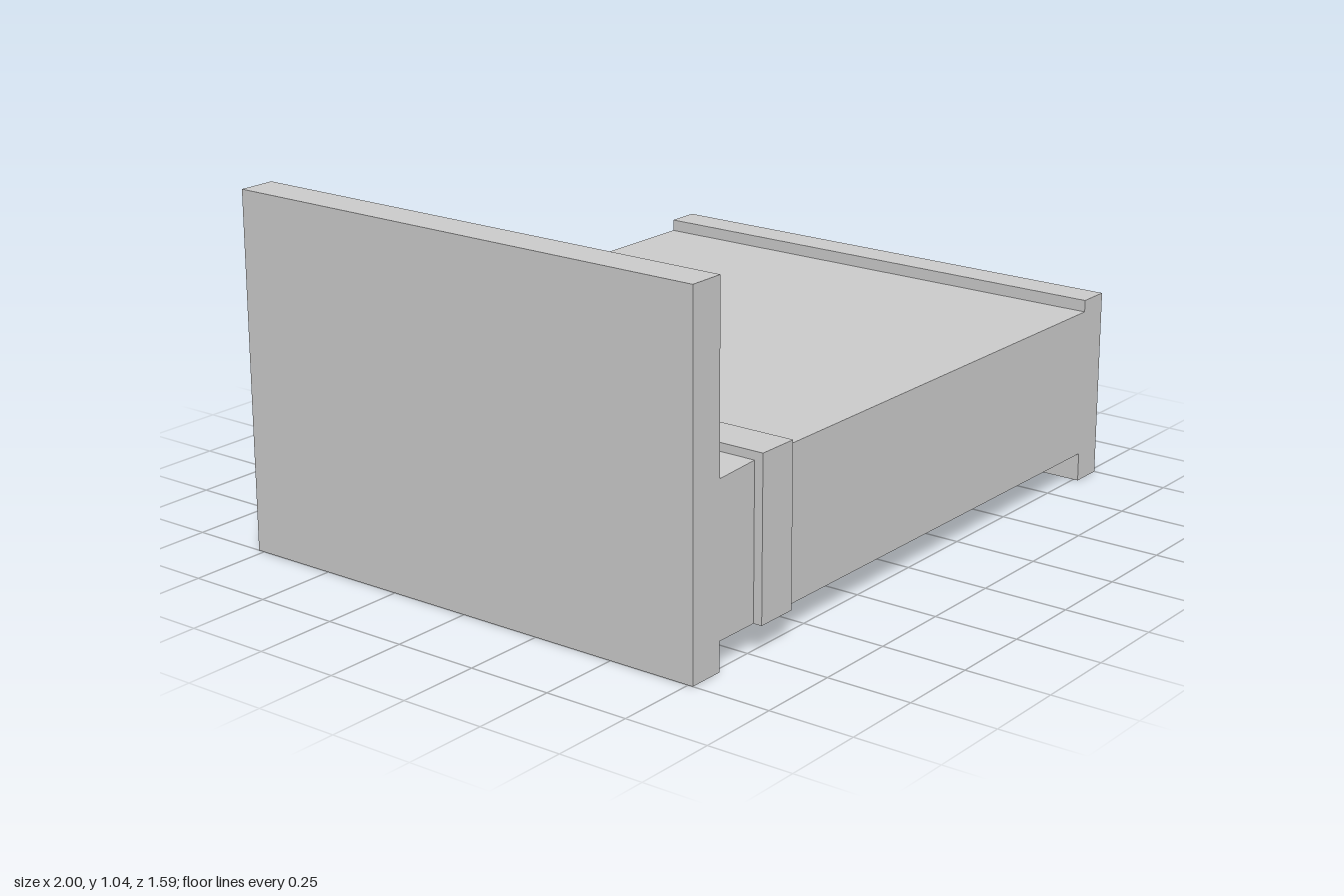
import * as THREE from 'three';

const material = new THREE.MeshStandardMaterial({ color: 0xcccccc, flatShading: true });

// Box given by its limits on each axis
function box(name, x0, x1, y0, y1, z0, z1) {
  const mesh = new THREE.Mesh(new THREE.BoxGeometry(x1 - x0, y1 - y0, z1 - z0), material);
  mesh.position.set((x0 + x1) / 2, (y0 + y1) / 2, (z0 + z1) / 2);
  mesh.name = name;
  return mesh;
}

// Flat pillow: cut corners at both ends and a gently crowned top
function pillow(name, zCentre) {
  const stations = [-1, -0.92, -0.65, 0, 0.65, 0.92, 1];
  const halfWidths = [0.07, 0.09, 0.092, 0.092, 0.092, 0.09, 0.07];
  const tops = [0.597, 0.6, 0.604, 0.605, 0.604, 0.6, 0.597];
  const geometry = new THREE.BoxGeometry(2, 2, 6, 1, 1, 6);
  const p = geometry.attributes.position;
  for (let i = 0; i < p.count; i++) {
    const s = Math.round(p.getZ(i)) + 3;
    p.setXYZ(i, p.getX(i) * halfWidths[s], p.getY(i) > 0 ? tops[s] : 0.553, stations[s] * 0.292);
  }
  geometry.computeVertexNormals();
  const mesh = new THREE.Mesh(geometry, material);
  mesh.position.set(-0.758, 0, zCentre);
  mesh.name = name;
  return mesh;
}

export function createModel() {
  const bed = new THREE.Group();
  bed.name = 'bed';
  const back = -0.77, front = 0.765;

  // End boards
  bed.add(box('headboard', -1, -0.89, 0, 1.045, back, front));
  bed.add(box('footboard', 0.9, 1, 0, 0.563, back, front));

  // Mattress, dipping slightly towards the headboard
  const profile = new THREE.Shape([
    [-0.89, 0.15], [0.9, 0.15], [0.9, 0.528], [-0.745, 0.528], [-0.89, 0.52],
  ].map(([x, y]) => new THREE.Vector2(x, y)));
  const mattress = new THREE.Mesh(
    new THREE.ExtrudeGeometry(profile, { depth: front - back, bevelEnabled: false }), material);
  mattress.position.z = back;
  mattress.name = 'mattress';
  bed.add(mattress);

  // Side rails hanging below the mattress base
  bed.add(box('leftRail', -0.89, 0.9, 0.085, 0.15, front - 0.05, front));
  bed.add(box('rightRail', -0.89, 0.9, 0.085, 0.15, back, back + 0.05));

  // Folded blanket band over the top and down both sides
  const u = new THREE.Shape([
    [back - 0.026, 0.085], [back, 0.085], [back, 0.528], [front, 0.528],
    [front, 0.085], [front + 0.026, 0.085], [front + 0.026, 0.552], [back - 0.026, 0.552],
  ].map(([z, y]) => new THREE.Vector2(-z, y)));
  const band = new THREE.Mesh(
    new THREE.ExtrudeGeometry(u, { depth: 0.13, bevelEnabled: false }), material);
  band.rotation.y = Math.PI / 2;
  band.position.x = -0.745;
  band.name = 'blanketFold';
  bed.add(band);

  // Pillows
  bed.add(pillow('leftPillow', 0.302));
  bed.add(pillow('rightPillow', -0.323));

  return bed;
}
